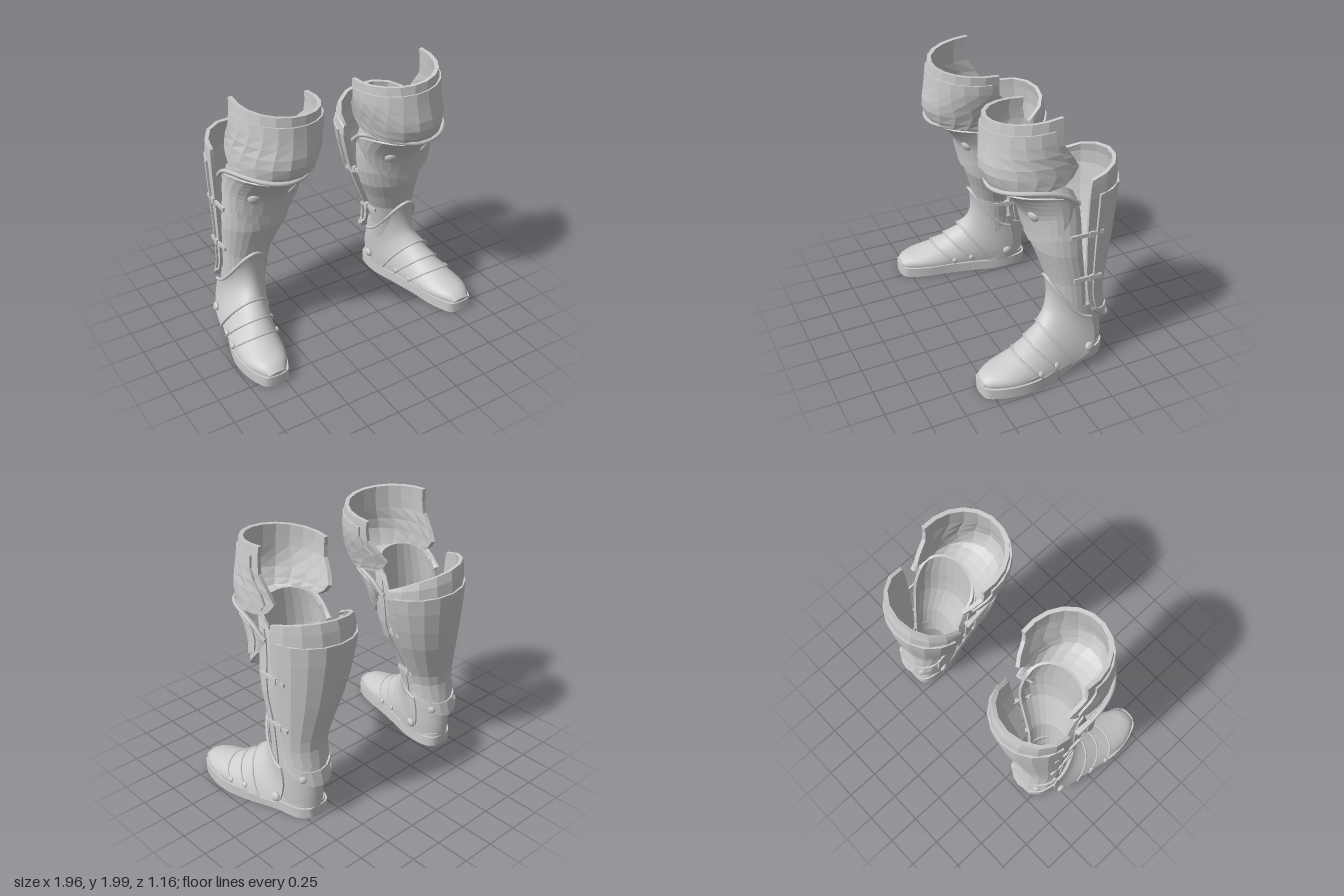
import * as THREE from 'three';
import { toCreasedNormals } from 'three/addons/utils/BufferGeometryUtils.js';

const faceted = new THREE.MeshStandardMaterial({ color: 0xcccccc, flatShading: true, side: THREE.DoubleSide });
const smooth = new THREE.MeshStandardMaterial({ color: 0xcccccc, side: THREE.DoubleSide });

// Catmull-Rom blend of a list of equal-length rows, v from 0 (first) to 1 (last)
function blend(rows, v) {
  const n = rows.length - 1, s = Math.min(Math.max(v, 0), 1) * n;
  const i = Math.min(Math.floor(s), n - 1), t = s - i;
  const a = rows[Math.max(i - 1, 0)], b = rows[i], c = rows[i + 1], d = rows[Math.min(i + 2, n)];
  return b.map((q, k) => 0.5 * (2 * q + (c[k] - a[k]) * t + (2 * a[k] - 5 * q + 4 * c[k] - d[k]) * t * t
    + (3 * q - a[k] - 3 * c[k] + d[k]) * t * t * t));
}

// Upright wrap; rows: y, centre x, centre z, radius x, radius z, half angle, edge lift, tilt
// back below 1 straightens the part that passes behind the centre
const wrap = (rows, mid = 0, back = 1) => (u, v) => {
  const [y, cx, cz, rx, rz, half, lift, tilt] = blend(rows, v);
  const a = THREE.MathUtils.degToRad(mid + u * half), s = Math.sin(a), c = Math.cos(a);
  const side = c < 0 ? Math.sign(s) * Math.abs(s) ** back : s;
  return new THREE.Vector3(cx + rx * side, y + lift * u * u + tilt * u, cz + rz * c);
};

// Arch over the foot; rows: ridge z, ridge y, side z, side y, centre x, half width
// peak above 1 makes the first row pointed
const arch = (rows, peak = 1) => (u, v) => {
  const [pz, py, sz, sy, cx, hw] = blend(rows, v);
  const a = u * Math.PI / 2, c = Math.max(Math.cos(a), 0);
  const rise = c ** THREE.MathUtils.lerp(peak, 1, v);
  return new THREE.Vector3(cx + hw * Math.sin(a), sy + (py - sy) * rise, sz + (pz - sz) * c);
};

// Outward normal of a surface function
function normalAt(f, u, v) {
  const e = 0.01, v0 = Math.max(v - e, 0), v1 = Math.min(v + e, 1);
  const du = f(Math.min(u + e, 1), v).sub(f(Math.max(u - e, -1), v)), dv = f(u, v1).sub(f(u, v0));
  return dv.cross(du).normalize();
}

// Closed sheet of metal following a surface function
function sheet(f, nu, nv, { thick = 0.02, raise = 0, u = [-1, 1], v = [0, 1] } = {}) {
  const pos = [], idx = [], W = nu + 1, N = W * (nv + 1);
  for (const off of [raise, -thick])
    for (let j = 0; j <= nv; j++)
      for (let i = 0; i <= nu; i++) {
        const a = THREE.MathUtils.lerp(...u, i / nu), b = THREE.MathUtils.lerp(...v, j / nv);
        pos.push(...f(a, b).addScaledVector(normalAt(f, a, b), off).toArray());
      }
  const quad = (a, b, c, d) => idx.push(a, b, c, a, c, d);
  for (let j = 0; j < nv; j++)
    for (let i = 0; i < nu; i++) {
      const a = j * W + i, b = a + W;
      quad(a, b, b + 1, a + 1);
      quad(N + a, N + a + 1, N + b + 1, N + b);
    }
  for (let i = 0; i < nu; i++) {
    const b = nv * W + i;
    quad(i, i + 1, N + i + 1, N + i);
    quad(b, N + b, N + b + 1, b + 1);
  }
  for (let j = 0; j < nv; j++) {
    const a = j * W, b = a + nu;
    quad(a, N + a, N + a + W, a + W);
    quad(b, b + W, N + b + W, N + b);
  }
  const g = new THREE.BufferGeometry();
  g.setAttribute('position', new THREE.Float32BufferAttribute(pos, 3));
  g.setIndex(idx);
  return toCreasedNormals(g, 0.7);
}

function add(parent, name, geometry, material = smooth) {
  const m = new THREE.Mesh(geometry, material);
  m.name = name;
  parent.add(m);
  return m;
}

// Rolled edge across a plate at height v
function rim(parent, name, f, v, r) {
  const pts = Array.from({ length: 17 }, (_, i) => f(-1 + i / 8, v));
  add(parent, name, new THREE.TubeGeometry(new THREE.CatmullRomCurve3(pts), 32, r, 6));
}

// Domed rivet seated on a plate
function rivet(parent, name, f, u, v, r) {
  const m = add(parent, name, new THREE.SphereGeometry(r, 14, 8).scale(1, 1, 0.55));
  const n = normalAt(f, u, v);
  m.position.copy(f(u, v)).addScaledVector(n, 0.008);
  m.quaternion.setFromUnitVectors(new THREE.Vector3(0, 0, 1), n);
}

// Strap with end studs between two points
function strap(parent, name, from, to, out) {
  const a = new THREE.Vector3(...from), b = new THREE.Vector3(...to), len = a.distanceTo(b);
  const s = new THREE.Group();
  s.name = name;
  add(s, 'strapBand', new THREE.BoxGeometry(0.016, 0.03, len));
  add(s, 'buckle', new THREE.BoxGeometry(0.03, 0.045, 0.04)).position.z = len * 0.12;
  for (const e of [-1, 1])
    add(s, 'stud', new THREE.SphereGeometry(0.013, 8, 6)).position.set(out * 0.01, 0, e * (len / 2 - 0.02));
  s.position.copy(a).lerp(b, 0.5);
  s.lookAt(b);
  parent.add(s);
}

// Flat slab with the outline of the foot
function soleSlab(inset, y, h) {
  const st = [[-0.455, 0.655, 0.07], [-0.38, 0.66, 0.135], [-0.2, 0.68, 0.16], [0, 0.745, 0.175],
    [0.2, 0.795, 0.178], [0.36, 0.808, 0.163], [0.49, 0.812, 0.125], [0.565, 0.812, 0.07]];
  const side = (s) => st.map(([z, x, w]) => new THREE.Vector2(x + s * (w - inset), -z * (1 - inset)));
  const shape = new THREE.Shape();
  const pts = [...side(1), ...side(-1).reverse()];
  shape.setFromPoints(new THREE.SplineCurve([...pts, pts[0]]).getPoints(64).slice(0, -1));
  const g = new THREE.ExtrudeGeometry(shape, { depth: h, bevelEnabled: false });
  return toCreasedNormals(g.rotateX(-Math.PI / 2).translate(0, y, 0), 0.7);
}

function buildLeg() {
  const leg = new THREE.Group();

  // Thigh plate with side wings at the knee
  const thigh = wrap([
    [1.95, 0.48, 0.03, 0.305, 0.33, 105, 0, 0.05], [1.78, 0.49, 0.045, 0.31, 0.33, 108, 0, 0.03],
    [1.61, 0.515, 0.05, 0.295, 0.345, 132, 0, 0.01], [1.47, 0.53, 0.04, 0.28, 0.3, 112, 0.04, 0.01]], 0, 0.5);
  add(leg, 'thighPlate', sheet(thigh, 11, 6, { thick: 0.03 }), faceted);
  add(leg, 'thighPanel', sheet(thigh, 11, 6, { raise: 0.012, thick: 0.005, u: [-0.9, 0.9], v: [0.15, 0.95] }), faceted);

  // Flared knee guard, its sides narrowing to a tip behind, pointed below
  const kneeWrap = wrap([
    [1.49, 0.55, -0.01, 0.305, 0.38, 112, -0.13, 0.02], [1.42, 0.55, -0.02, 0.298, 0.27, 118, -0.07, 0.02],
    [1.28, 0.56, -0.035, 0.29, 0.175, 126, 0.055, 0.015], [1.15, 0.575, -0.035, 0.28, 0.14, 128, 0.17, 0.01],
    [1.015, 0.59, -0.035, 0.27, 0.125, 128, 0.28, 0]], 0, 0.5);
  const knee = (u, v) => {
    const p = kneeWrap(u, v), q = u * u;
    p.y += 0.28 * ((1 - v) ** 2 * (q - q * q) + v * v * (Math.abs(u) ** 1.2 - q));
    return p;
  };
  add(leg, 'kneeGuard', sheet(knee, 14, 9), faceted);
  add(leg, 'kneePanel', sheet(knee, 14, 8, { raise: 0.012, thick: 0.005, u: [-0.8, 0.8], v: [0.16, 0.83] }), faceted);
  rim(leg, 'kneeRim', knee, 0, 0.016);
  for (const u of [-0.24, 0.24]) rivet(leg, 'kneeRivet', knee, u, 0.53, 0.045);

  // Shin plate
  const shin = wrap([
    [1.58, 0.55, -0.1, 0.24, 0.18, 100, -0.12, 0], [1.3, 0.55, -0.12, 0.26, 0.19, 112, 0, 0],
    [1.0, 0.58, -0.15, 0.25, 0.2, 106, 0, 0], [0.7, 0.64, -0.2, 0.178, 0.155, 107, 0, 0],
    [0.35, 0.665, -0.23, 0.152, 0.145, 107, 0, 0]]);
  add(leg, 'shinPlate', sheet(shin, 14, 8), faceted);
  add(leg, 'shinPanel', sheet(shin, 14, 8, { raise: 0.01, thick: 0.005, u: [-0.86, 0.86], v: [0.1, 0.97] }), faceted);

  // Calf plate, its top lower on the inner side
  const calf = wrap([
    [1.58, 0.545, -0.27, 0.31, 0.275, 96, -0.1, -0.055], [1.39, 0.54, -0.26, 0.32, 0.315, 96, -0.02, -0.025],
    [1.0, 0.575, -0.26, 0.27, 0.265, 96, 0, 0], [0.65, 0.64, -0.28, 0.19, 0.17, 97, 0, 0],
    [0.48, 0.65, -0.29, 0.18, 0.17, 92, 0.03, 0], [0.3, 0.655, -0.31, 0.18, 0.19, 84, 0.14, 0]], 180);
  add(leg, 'calfPlate', sheet(calf, 8, 10, { thick: 0.028 }), faceted);
  add(leg, 'calfPanel', sheet(calf, 8, 8, { raise: 0.01, thick: 0.006, u: [-0.86, 0.86], v: [0.18, 0.84] }), faceted);
  add(leg, 'calfAnkleBand', sheet(calf, 8, 2, { raise: 0.014, thick: 0.005, v: [0.87, 1] }), faceted);
  for (const u of [-0.5, 0.5]) rivet(leg, 'calfRivet', calf, u, 0.94, 0.028);

  // Straps joining shin and calf plates
  strap(leg, 'outerUpperStrap', [0.845, 1.12, -0.1], [0.845, 1.12, -0.35], 1);
  strap(leg, 'outerLowerStrap', [0.83, 0.75, -0.15], [0.835, 0.75, -0.36], 1);
  strap(leg, 'innerUpperStrap', [0.35, 1.04, -0.11], [0.295, 1.04, -0.3], -1);
  strap(leg, 'innerLowerStrap', [0.465, 0.66, -0.14], [0.445, 0.66, -0.31], -1);

  // Sole, welt and heel
  add(leg, 'sole', soleSlab(0, 0.01, 0.08));
  add(leg, 'welt', soleSlab(0.014, 0.085, 0.03));
  const heel = wrap([
    [0.5, 0.66, -0.25, 0.155, 0.18, 180, 0, 0], [0.35, 0.66, -0.25, 0.155, 0.185, 180, 0, 0],
    [0.2, 0.66, -0.25, 0.152, 0.21, 180, 0, 0], [0.09, 0.66, -0.25, 0.145, 0.21, 180, 0, 0]]);
  add(leg, 'heel', sheet(heel, 28, 6, { thick: 0.015 }));

  // Ankle plate sweeping up to a point on the shin
  const ankle = arch([
    [-0.005, 0.74, -0.285, 0.42, 0.67, 0.182], [-0.022, 0.65, -0.305, 0.35, 0.67, 0.184],
    [-0.022, 0.55, -0.315, 0.26, 0.675, 0.187], [0.005, 0.46, -0.28, 0.14, 0.695, 0.192],
    [0.07, 0.39, -0.12, 0.105, 0.73, 0.193]], 1.7);
  add(leg, 'anklePlate', sheet(ankle, 24, 12, { thick: 0.014 }));
  rim(leg, 'ankleTopRim', ankle, 0, 0.013);
  rim(leg, 'ankleFrontRim', ankle, 1, 0.009);
  for (const u of [-0.93, 0.93]) rivet(leg, 'ankleRivet', ankle, u, 0.7, 0.036);

  // Overlapping foot plates and toe cap
  const lames = [
    [[0.03, 0.385, -0.17, 0.1, 0.715, 0.178], [0.18, 0.305, 0, 0.1, 0.757, 0.185]],
    [[0.12, 0.31, -0.08, 0.1, 0.738, 0.174], [0.285, 0.24, 0.15, 0.1, 0.785, 0.181]],
    [[0.21, 0.253, 0.06, 0.1, 0.768, 0.171], [0.42, 0.192, 0.33, 0.1, 0.802, 0.165],
      [0.52, 0.165, 0.48, 0.1, 0.81, 0.118], [0.57, 0.125, 0.56, 0.1, 0.812, 0.065]]];
  lames.forEach((rows, i) => {
    const f = arch(rows);
    add(leg, i < 2 ? 'footPlate' : 'toeCap', sheet(f, 20, i < 2 ? 3 : 9, { thick: 0.012 }));
    rim(leg, 'footPlateRim', f, 1, 0.008);
    if (i < 2) for (const u of [-0.86, 0.86]) rivet(leg, 'footRivet', f, u, 0.88, 0.022);
  });
  return leg;
}

// Mirror image across x = 0 with the face winding corrected
function mirror(leg) {
  const out = new THREE.Group();
  leg.updateMatrixWorld(true);
  leg.traverse((m) => {
    if (!m.isMesh) return;
    const g = m.geometry.index ? m.geometry.toNonIndexed() : m.geometry.clone();
    g.applyMatrix4(m.matrixWorld).scale(-1, 1, 1);
    for (const { array, itemSize: s } of Object.values(g.attributes))
      for (let i = 0; i < array.length; i += 3 * s)
        for (let k = 0; k < s; k++)
          [array[i + s + k], array[i + 2 * s + k]] = [array[i + 2 * s + k], array[i + s + k]];
    add(out, m.name, g, m.material);
  });
  return out;
}

export function createModel() {
  const model = new THREE.Group();
  model.name = 'legArmour';
  const left = buildLeg(), right = mirror(left);
  left.name = 'leftLeg';
  right.name = 'rightLeg';
  model.add(left, right);
  return model;
}
